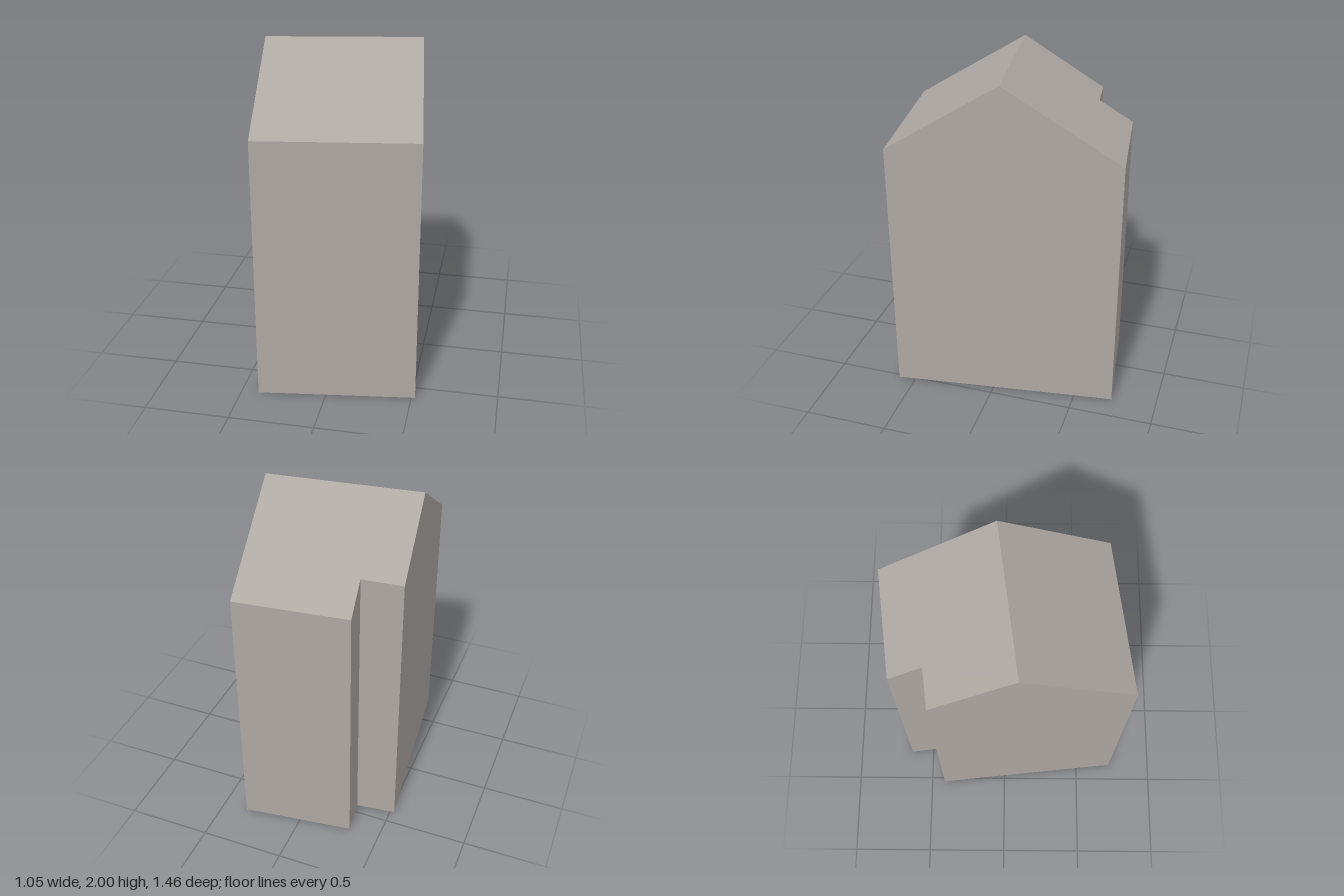
import * as THREE from 'three';

// Footprint corners with the eave or ridge height above each: [x, z, height],
// counter-clockwise seen from above
const corners = [
  [-0.398, 0.727, 1.58],   // 0 front right eave
  [0.522, 0.605, 1.585],   // 1 front left eave
  [0.436, -0.047, 2.0],    // 2 ridge, left end
  [0.347, -0.73, 1.575],   // 3 back left eave
  [-0.314, -0.646, 1.568], // 4 back eave beside the notch
  [-0.288, -0.443, 1.694], // 5 inner corner of the notch
  [-0.525, -0.414, 1.687], // 6 outer corner of the notch
  [-0.47, 0.073, 1.992],   // 7 ridge, right end
];
const n = corners.length;

const points = [
  ...corners.map(([x, z]) => [x, 0, z]),
  ...corners.map(([x, z, h]) => [x, h, z]),
].flat();

function part(name, faces, material) {
  const indexed = new THREE.BufferGeometry();
  indexed.setAttribute('position', new THREE.Float32BufferAttribute(points, 3));
  indexed.setIndex(faces.flat());
  const geometry = indexed.toNonIndexed();
  geometry.computeVertexNormals();
  const mesh = new THREE.Mesh(geometry, material);
  mesh.name = name;
  return mesh;
}

export function createModel() {
  const stone = new THREE.MeshStandardMaterial({ color: 0xaea8a3 });
  stone.name = 'warm grey';

  // Walls rise from the footprint to the roof edge
  const walls = [];
  for (let i = 0; i < n; i++) {
    const j = (i + 1) % n;
    walls.push([i, j, j + n], [i, j + n, i + n]);
  }

  // Front slope, and back slope fanned around the notch corner
  const front = [[0, 1, 2], [0, 2, 7]];
  const back = [[5, 6, 7], [5, 7, 2], [5, 2, 3], [5, 3, 4]];
  const lift = (faces) => faces.map((f) => f.map((i) => i + n));
  const flip = (faces) => faces.map(([a, b, c]) => [a, c, b]);

  const house = new THREE.Group();
  house.name = 'gabledHouse';
  house.add(
    part('walls', walls, stone),
    part('frontRoofSlope', lift(front), stone),
    part('backRoofSlope', lift(back), stone),
    part('floor', flip([...front, ...back]), stone),
  );
  return house;
}
